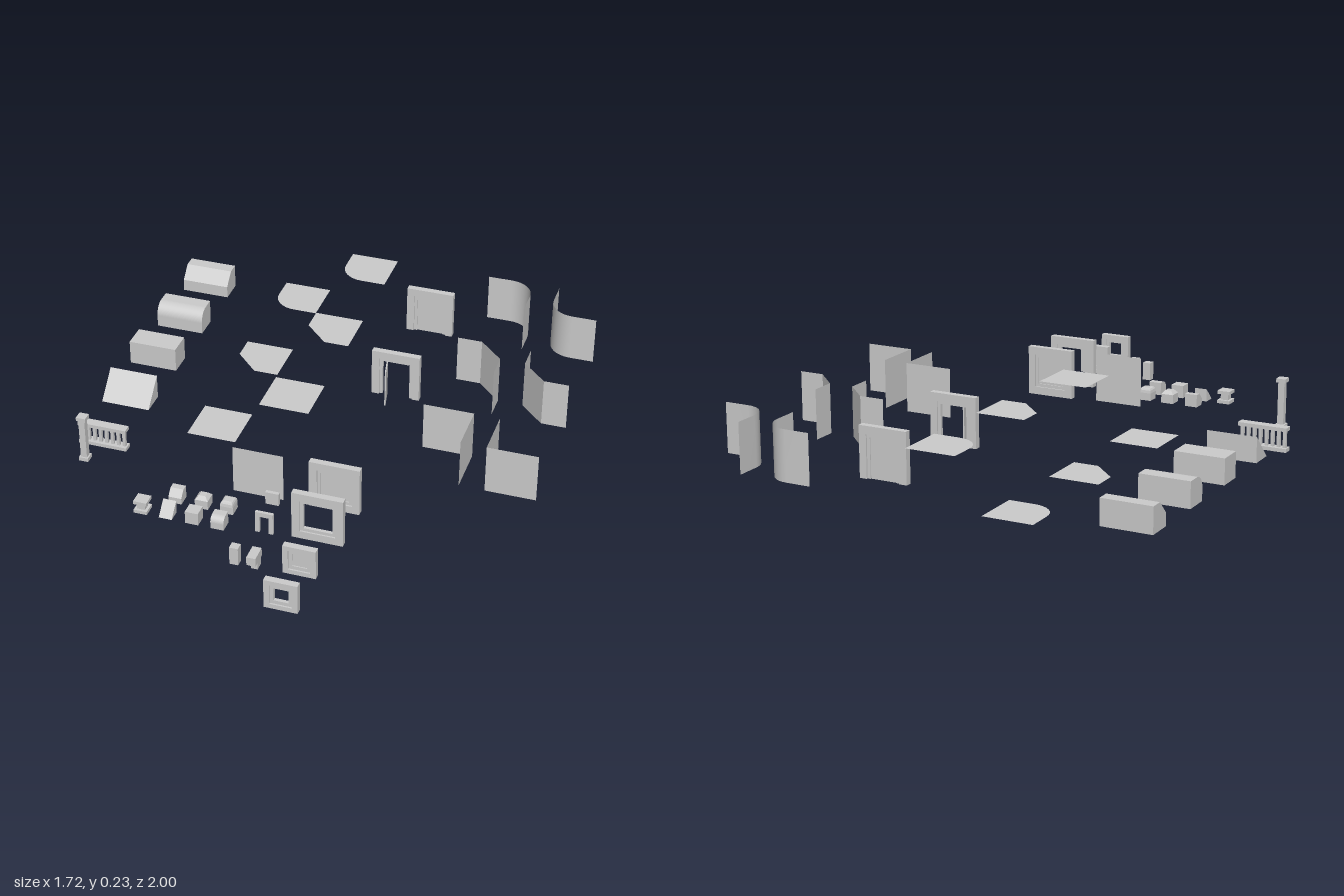
import * as THREE from 'three';

const mat = new THREE.MeshStandardMaterial({ color: 0xcccccc, flatShading: true, side: THREE.DoubleSide });
const smooth = new THREE.MeshStandardMaterial({ color: 0xcccccc, side: THREE.DoubleSide });
const S = 0.19, Y0 = 0.04, Y1 = 0.23; // module size, floor and ceiling height

export function createModel() {
  const root = new THREE.Group();
  const add = (name, geo, x = 0, y = 0, z = 0, parent = root, m = mat) => {
    const mesh = new THREE.Mesh(geo, m);
    mesh.name = name;
    mesh.position.set(x, y, z);
    parent.add(mesh);
    return mesh;
  };
  // box given by its min and max corners
  const box = (name, x0, x1, y0, y1, z0, z1, parent = root) =>
    add(name, new THREE.BoxGeometry(x1 - x0, y1 - y0, z1 - z0),
      (x0 + x1) / 2, (y0 + y1) / 2, (z0 + z1) / 2, parent);
  const group = (name) => {
    const g = new THREE.Group();
    g.name = name;
    root.add(g);
    return g;
  };

  // corner line in plan, from (0,0) back-left leg to front leg; the cut corner is at (0, S)
  const cornerLine = (style) => {
    const h = S / 2, pts = [[0, 0]];
    if (style === 'square') pts.push([0, S]);
    else if (style === 'chamfered') pts.push([0, h], [h, S]);
    else for (let i = 0; i <= 8; i++) {
      const a = (i / 8) * Math.PI / 2;
      pts.push([h - h * Math.cos(a), h + h * Math.sin(a)]);
    }
    pts.push([S, S]);
    return pts;
  };

  // thin vertical sheet standing on a plan line
  const sheet = (pts) => {
    const pos = [], idx = [];
    pts.forEach(([x, z], i) => {
      pos.push(x, Y0, z, x, Y1, z);
      if (i) {
        const a = 2 * i - 2;
        idx.push(a, a + 2, a + 3, a, a + 3, a + 1);
      }
    });
    const g = new THREE.BufferGeometry();
    g.setAttribute('position', new THREE.Float32BufferAttribute(pos, 3));
    g.setIndex(idx);
    g.computeVertexNormals();
    return g;
  };

  // floors, ceilings and both corner walls for every corner style
  [['square', -0.05], ['chamfered', -0.525], ['rounded', -1]].forEach(([style, z]) => {
    const line = cornerLine(style);
    const shape = new THREE.Shape([...line, [S, 0]].map(([x, v]) => new THREE.Vector2(x, -v)));
    const slab = new THREE.ShapeGeometry(shape).rotateX(-Math.PI / 2);
    add(style + 'Floor', slab, -0.477, Y0, z);
    add(style + 'Ceiling', slab, -0.19, Y1, z);
    const m = style === 'rounded' ? smooth : mat;
    add(style + 'OuterCornerWall', sheet(line), 0.666, 0, z, root, m);
    const turned = line.map(([x, v]) => [S - x, S - v]);
    add(style + 'InnerCornerWall', sheet(turned), 0.38, 0, z, root, m);
  });
  add('flatWall', sheet([[-0.19, 0.42], [0, 0.42]]));

  // side profiles (z forward, y up) of size s, extruded along x
  const profile = (style, s) => {
    const p = new THREE.Shape(), h = s / 2;
    p.moveTo(0, 0);
    p.lineTo(s, 0);
    if (style === 'block') p.lineTo(s, s);
    if (style === 'chamfered') p.lineTo(s, h).lineTo(h, s);
    if (style === 'rounded') p.lineTo(s, h).absarc(h, h, h, 0, Math.PI / 2, false);
    p.lineTo(0, s);
    p.closePath();
    return p;
  };
  const bar = (name, style, s, w, x, y, z) => {
    const g = new THREE.ExtrudeGeometry(profile(style, s), { depth: w, bevelEnabled: false, curveSegments: 8 });
    add(name, g.rotateY(-Math.PI / 2).translate(w, 0, 0), x, y, z);
  };

  // long roof edges
  [['sloped', -0.05], ['block', -0.335], ['rounded', -0.62], ['chamfered', -0.91]]
    .forEach(([style, z]) => bar(style + 'RoofEdge', style, 0.096, S, -0.86, Y0, z));

  // short roof ends
  [['sloped', -0.385, 0.605], ['block', -0.285, 0.605], ['rounded', -0.19, 0.605], ['chamfered', -0.385, 0.51]]
    .forEach(([style, x, z]) => bar(style + 'RoofCorner', style, 0.049, 0.049, x, Y0, z));

  // four-sided caps with sloping or rounded shoulders
  const cap = (name, shoulder, x) => {
    const r = 0.0245 * Math.SQRT2;
    const pts = [[0, 0], [r, 0], ...shoulder.map(([a, b]) => [r * a, 0.049 * b]), [0, 0.049]];
    const g = new THREE.LatheGeometry(pts.map(([a, b]) => new THREE.Vector2(a, b)), 4, Math.PI / 4);
    add(name, g, x, Y0, 0.535);
  };
  cap('slopedCap', [[1, 0.72], [0.5, 1]], -0.26);
  cap('roundedCap', [[1, 0.6], [0.93, 0.82], [0.78, 0.95], [0.55, 1]], -0.165);

  // railing
  const rail = group('railing');
  box('topRail', -0.86, -0.67, 0.078, 0.092, 0.235, 0.271, rail);
  box('bottomRail', -0.86, -0.67, 0, 0.014, 0.235, 0.271, rail);
  for (let i = 0; i < 8; i++) {
    const x = -0.765 + (i - 3.5) * 0.0237;
    box('baluster', x - 0.006, x + 0.006, 0.014, 0.078, 0.247, 0.259, rail);
  }

  // posts: base, shaft and head
  const post = (name, x, z, y0, y1, w, shaft, end) => {
    const g = group(name), b = w / 2, s = shaft / 2;
    box('postBase', x - b, x + b, y0, y0 + end, z - b, z + b, g);
    box('postShaft', x - s, x + s, y0 + end, y1 - end, z - s, z + s, g);
    box('postHead', x - b, x + b, y1 - end, y1, z - b, z + b, g);
  };
  post('column', -0.772, 0.408, Y0, Y1, 0.036, 0.024, 0.015);
  post('railingPost', -0.455, 0.63, Y0, 0.09, 0.05, 0.03, 0.013);

  // rectangular frame; an opening reaching the bottom makes a doorway
  const frame = (name, o, h, z0, depth, parent) => {
    const [x0, x1, y0, y1] = o, [a0, a1, b0, b1] = h, s = new THREE.Shape();
    const v = (x, y) => new THREE.Vector2(x, y);
    if (b0 <= y0) {
      s.setFromPoints([v(x0, y0), v(a0, y0), v(a0, b1), v(a1, b1), v(a1, y0), v(x1, y0), v(x1, y1), v(x0, y1)]);
    } else {
      s.setFromPoints([v(x0, y0), v(x1, y0), v(x1, y1), v(x0, y1)]);
      s.holes.push(new THREE.Path([v(a0, b0), v(a0, b1), v(a1, b1), v(a1, b0)]));
    }
    add(name, new THREE.ExtrudeGeometry(s, { depth, bevelEnabled: false }), 0, 0, z0, parent);
  };
  // wall with an opening, a thinner inner trim and an optional infill panel
  const framedWall = (name, outer, hole, inset, z, closed) => {
    const g = group(name), door = hole[2] <= outer[2];
    const inner = [hole[0] + inset, hole[1] - inset, door ? hole[2] : hole[2] + inset, hole[3] - inset];
    frame('frame', outer, hole, z - 0.025, 0.025, g);
    frame('trim', hole, inner, z - 0.019, 0.013, g);
    if (closed) box('panel', inner[0], inner[1], inner[2], inner[3], z - 0.015, z - 0.01, g);
    return g;
  };
  const big = [0.095, 0.283, Y0, Y1], small = [0.13, 0.25, Y0, 0.155];
  framedWall('closedDoorWall', big, [0.125, 0.255, Y0, 0.2], 0.012, -0.812, true);
  const doorway = framedWall('openDoorWall', big, [0.125, 0.255, Y0, 0.2], 0.012, -0.335, false);
  const leaf = add('doorLeaf', new THREE.BoxGeometry(0.005, 0.15, 0.08), 0.162, 0.115, -0.305, doorway);
  leaf.rotation.y = 0.2;
  framedWall('closedWindowWall', big, [0.125, 0.255, 0.07, 0.2], 0.012, 0.42, true);
  framedWall('openWindowWall', big, [0.125, 0.255, 0.07, 0.2], 0.012, 0.61, false);
  framedWall('smallClosedWindow', small, [0.15, 0.23, 0.058, 0.137], 0.014, 0.808, true);
  framedWall('smallOpenWindow', small, [0.15, 0.23, 0.058, 0.137], 0.014, 1, false);

  // small fittings
  frame('smallArch', [-0.035, 0.031, Y0, 0.125], [-0.019, 0.015, Y0, 0.107], 0.61, 0.012, root);
  box('smallPanel', -0.055, -0.005, Y0, 0.09, 0.445, 0.459);
  box('smallPost', -0.058, -0.026, Y0, 0.11, 0.789, 0.82);
  const bracket = group('bracket');
  box('bracketHead', 0.016, 0.049, 0.077, 0.11, 0.787, 0.852, bracket);
  box('bracketLeg', 0.02, 0.045, Y0, 0.077, 0.787, 0.82, bracket);
  return root;
}
